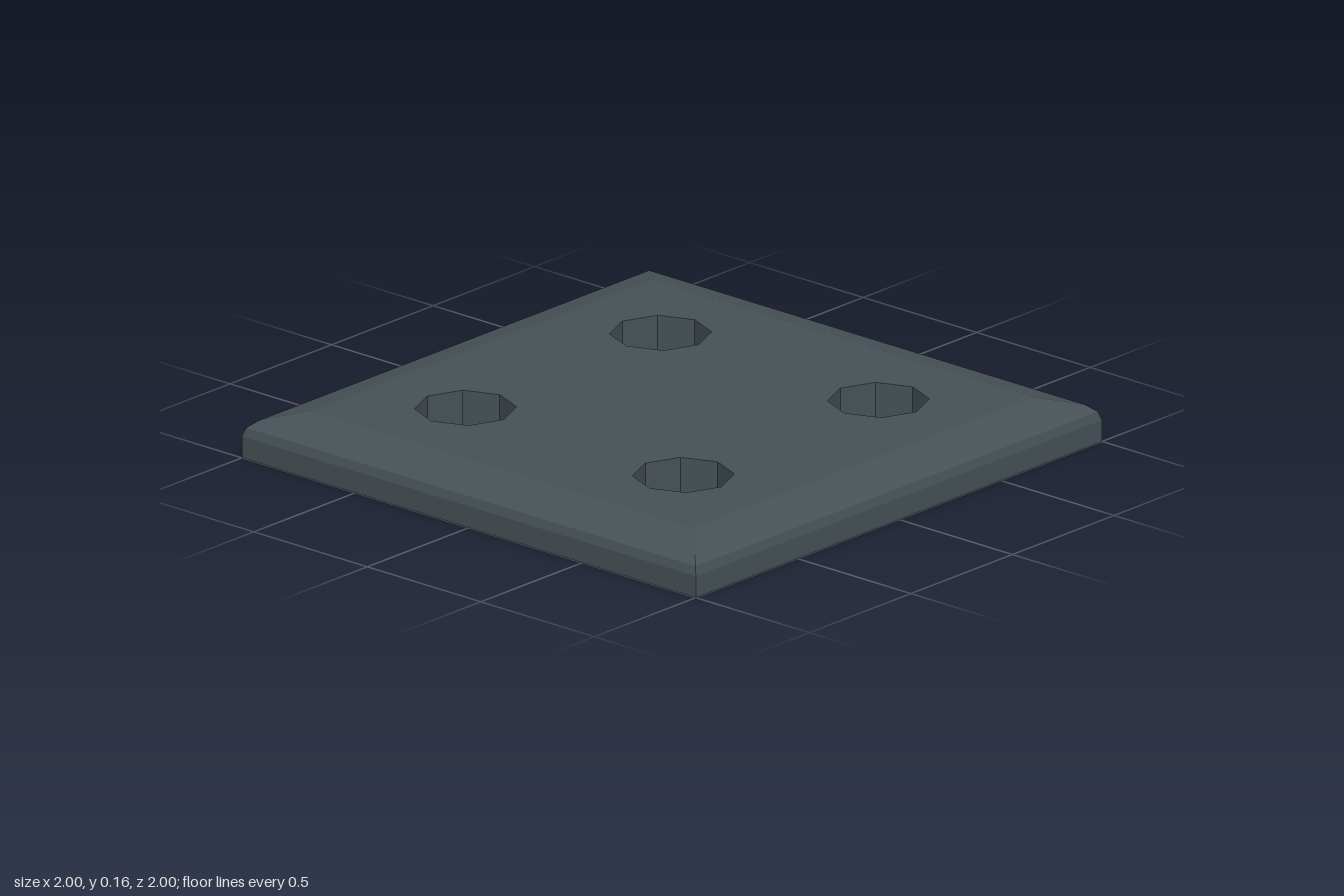
import * as THREE from 'three';

const TOP = 0.16, FLOOR = 0.02, INNER = 0.84;
const HOLE_POS = 0.48, HOLE_R = 0.168, HOLE_SIDES = 8;

export function createModel() {
  const group = new THREE.Group();
  group.name = 'studPlate';
  const material = new THREE.MeshStandardMaterial({ color: 0x465156, flatShading: true });
  const wallMaterial = material.clone();
  wallMaterial.side = THREE.BackSide; // hole walls are seen from the inside

  const add = (name, geometry, mat = material) => {
    const mesh = new THREE.Mesh(geometry, mat);
    mesh.name = name;
    group.add(mesh);
    return mesh;
  };

  // Underside, sides and sloped rim: a four-sided sweep of the edge profile
  const profile = [[0, 0], [1, 0], [1, 0.075], [0.99, 0.105], [0.96, 0.13], [INNER, TOP]]
    .map(([half, y]) => new THREE.Vector2(half * Math.SQRT2, y));
  add('beveledBase', new THREE.LatheGeometry(profile, 4, Math.PI / 4));

  // Flat top with four octagonal openings
  const top = new THREE.Shape([[-1, -1], [1, -1], [1, 1], [-1, 1]]
    .map(([x, y]) => new THREE.Vector2(x * INNER, y * INNER)));
  const centers = [-1, 1].flatMap((x) => [-1, 1].map((z) => [x * HOLE_POS, z * HOLE_POS]));
  for (const [x, z] of centers) {
    const points = Array.from({ length: HOLE_SIDES }, (_, i) => {
      const a = -i / HOLE_SIDES * Math.PI * 2;
      return new THREE.Vector2(x + HOLE_R * Math.cos(a), z + HOLE_R * Math.sin(a));
    });
    top.holes.push(new THREE.Path(points));
  }
  add('topFace', new THREE.ShapeGeometry(top).rotateX(-Math.PI / 2)).position.y = TOP;

  // Walls and floors of the recesses
  const wall = new THREE.CylinderGeometry(HOLE_R, HOLE_R, TOP - FLOOR, HOLE_SIDES, 1, true);
  const floor = new THREE.CircleGeometry(HOLE_R, HOLE_SIDES).rotateX(-Math.PI / 2);
  for (const [x, z] of centers) {
    add('holeWall', wall, wallMaterial).position.set(x, (TOP + FLOOR) / 2, z);
    add('holeFloor', floor).position.set(x, FLOOR, z);
  }
  return group;
}
